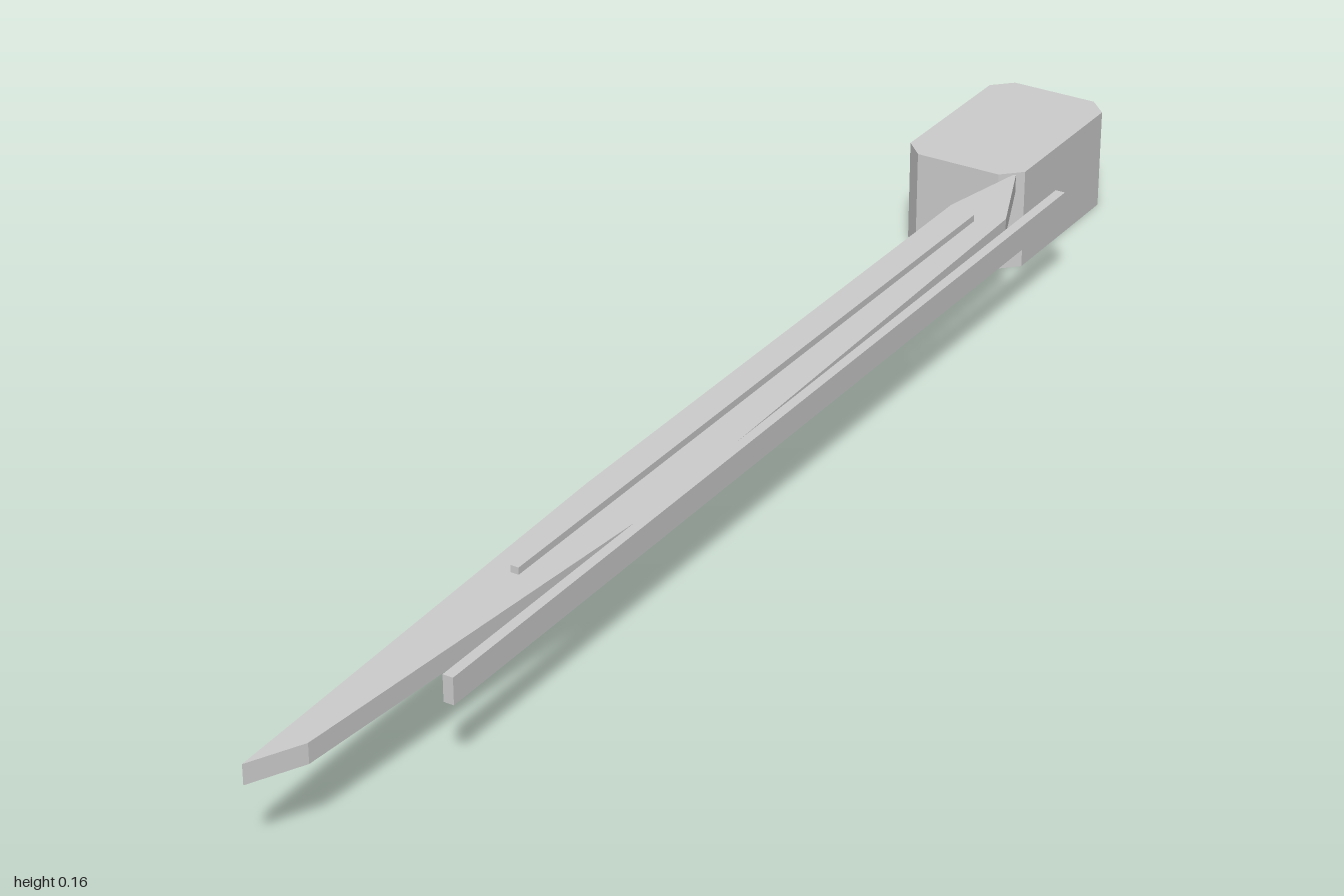
import * as THREE from 'three';

export function createModel() {
  const model = new THREE.Group();
  const grey = new THREE.MeshStandardMaterial({ color: 0xcccccc });
  grey.name = 'light grey';

  const add = (name, geometry) => {
    const mesh = new THREE.Mesh(geometry, grey);
    mesh.name = name;
    model.add(mesh);
  };

  // Flat plate with an [x, z] outline, between two heights
  const plate = (name, outline, y0, y1) => {
    const shape = new THREE.Shape(outline.map(([x, z]) => new THREE.Vector2(x, -z)));
    const geometry = new THREE.ExtrudeGeometry(shape, { depth: y1 - y0, bevelEnabled: false });
    geometry.rotateX(-Math.PI / 2).translate(0, y0, 0);
    add(name, geometry);
  };

  // Straight bar from its limits on each axis
  const bar = (name, [x0, x1], [y0, y1], [z0, z1]) => {
    const geometry = new THREE.BoxGeometry(x1 - x0, y1 - y0, z1 - z0);
    geometry.translate((x0 + x1) / 2, (y0 + y1) / 2, (z0 + z1) / 2);
    add(name, geometry);
  };

  // Block with chamfered upright corners at the back
  const [l, r, b, f, c] = [-0.13, 0.051, -1, -0.713, 0.027];
  plate('endBlock', [
    [l + c, f], [r - c, f], [r, f - c], [r, b + c],
    [r - c, b], [l + c, b], [l, b + c], [l, f - c],
  ], 0, 0.145);

  // Long tapering blade
  plate('blade', [
    [0.033, 1], [0.068, 0.93], [0.115, 0.3], [0.096, -0.6],
    [0.04, -0.735], [0.012, -0.6], [0.012, 0.3],
  ], 0.115, 0.142);

  // Thin rib over the blade and rail beside it
  bar('topRib', [0.055, 0.066], [0.1455, 0.155], [-0.565, 0.525]);
  bar('sideRail', [0.114, 0.128], [0.109, 0.145], [-0.71, 0.745]);

  return model;
}
